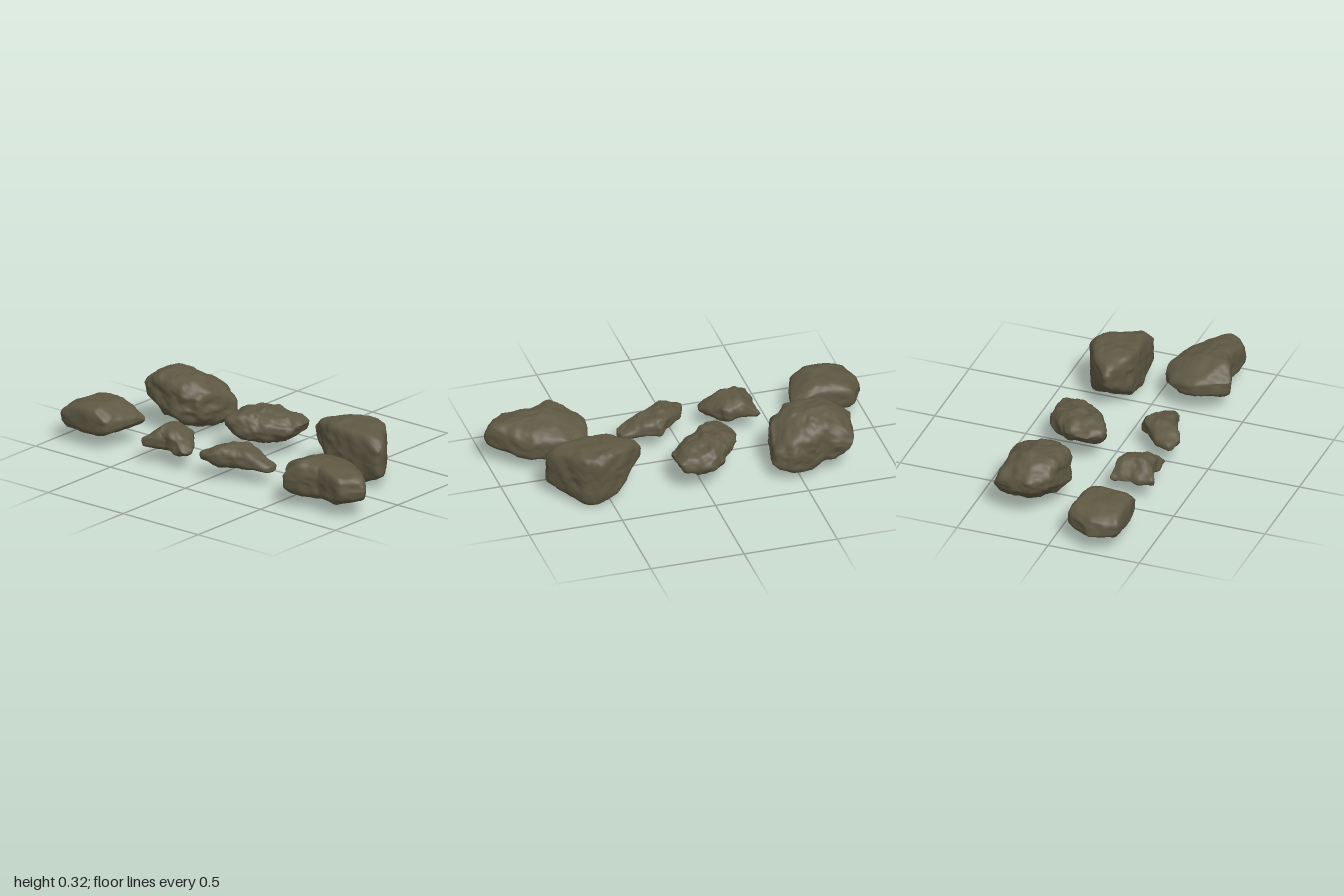
import * as THREE from 'three';
import { mergeVertices } from 'three/addons/utils/BufferGeometryUtils.js';

function seeded(seed) {
  let s = seed;
  return () => (s = (s * 16807) % 2147483647) / 2147483647;
}

// Height from evenly spaced values, t from 0 to 1
function heightAt(values, t) {
  const f = THREE.MathUtils.clamp(t, 0, 1) * (values.length - 1);
  const i = Math.min(Math.floor(f), values.length - 2);
  return THREE.MathUtils.lerp(values[i], values[i + 1], f - i);
}

// Distance from the centre to the outline in direction (dx, dz)
function reach(plan, cx, cz, dx, dz) {
  let best = 0;
  plan.forEach(([ax, az], i) => {
    const [bx, bz] = plan[(i + 1) % plan.length];
    const ex = bx - ax, ez = bz - az, det = dx * ez - dz * ex;
    if (Math.abs(det) < 1e-9) return;
    const t = ((ax - cx) * ez - (az - cz) * ex) / det;
    const u = ((ax - cx) * dz - (az - cz) * dx) / det;
    if (t > 0 && u >= -1e-6 && u <= 1 + 1e-6) best = Math.max(best, t);
  });
  return best;
}

// Smooth value noise, -1 to 1
function hash(x, y, z) {
  const h = Math.sin(x * 127.1 + y * 311.7 + z * 74.7) * 43758.5453;
  return (h - Math.floor(h)) * 2 - 1;
}
function noise(x, y, z) {
  const ix = Math.floor(x), iy = Math.floor(y), iz = Math.floor(z);
  const ease = (t) => t * t * (3 - 2 * t), mix = THREE.MathUtils.lerp;
  const u = ease(x - ix), v = ease(y - iy), w = ease(z - iz);
  const row = (j, k) => mix(hash(ix, iy + j, iz + k), hash(ix + 1, iy + j, iz + k), u);
  return mix(mix(row(0, 0), row(1, 0), v), mix(row(0, 1), row(1, 1), v), w);
}

// plan: outline [x, z]; top and bottom: heights from the -x end to the +x end
// power: 2 is round, larger is boxier; fall: drop of the top towards the back;
// rise: lift of the bottom towards the front; rough: surface relief
function rockGeometry({ plan, top, bottom, power, fall = 0, rise = 0, rough }, seed) {
  const [x0, z0] = [0, 1].map((k) => Math.min(...plan.map((q) => q[k])));
  const [x1, z1] = [0, 1].map((k) => Math.max(...plan.map((q) => q[k])));
  const cx = (x0 + x1) / 2, cz = (z0 + z1) / 2;
  let geometry = new THREE.SphereGeometry(1, 88, 56);
  geometry.deleteAttribute('uv');
  geometry.deleteAttribute('normal');
  geometry = mergeVertices(geometry, 1e-5);
  const pos = geometry.attributes.position, p = new THREE.Vector3();

  // Body swept to the outline and the height lines
  for (let i = 0; i < pos.count; i++) {
    p.fromBufferAttribute(pos, i);
    const flat = Math.hypot(p.x, p.z);
    const dx = flat > 1e-6 ? p.x / flat : 1, dz = flat > 1e-6 ? p.z / flat : 0;
    const swell = Math.pow(Math.pow(flat, power) + Math.pow(Math.abs(p.y), power), -1 / power);
    const r = reach(plan, cx, cz, dx, dz) * flat * swell, s = Math.abs(p.y) * swell;
    const x = cx + dx * r, z = cz + dz * r, t = (x - x0) / (x1 - x0);
    const high = heightAt(top, t) + Math.min(0, fall * (z - cz));
    const low = heightAt(bottom, t) + Math.max(0, rise * (z - cz));
    const mid = low + (high - low) * 0.47;
    pos.setXYZ(i, x, p.y > 0 ? mid + s * (high - mid) : mid - s * (mid - low), z);
  }

  // Flat broken faces
  const random = seeded(seed * 7919 + 11), centre = new THREE.Vector3(cx, 0.15, cz);
  for (let c = 0; c < 10; c++) {
    const angle = (c + random()) / 10 * Math.PI * 2;
    const n = new THREE.Vector3(Math.cos(angle), (random() - 0.4) * 2.4, Math.sin(angle)).normalize();
    let limit = 0;
    for (let i = 0; i < pos.count; i++) limit = Math.max(limit, p.fromBufferAttribute(pos, i).sub(centre).dot(n));
    limit *= 0.92 + random() * 0.06;
    for (let i = 0; i < pos.count; i++) {
      const over = p.fromBufferAttribute(pos, i).sub(centre).dot(n) - limit;
      if (over > 0) {
        p.addScaledVector(n, -over).add(centre);
        pos.setXYZ(i, p.x, p.y, p.z);
      }
    }
  }

  // Weathered lumps and cracks
  geometry.computeVertexNormals();
  const normal = geometry.attributes.normal;
  for (let i = 0; i < pos.count; i++) {
    p.fromBufferAttribute(pos, i);
    const ridge = 0.4 - Math.abs(noise(p.x * 13 + seed, p.y * 16, p.z * 13));
    const d = rough * (0.8 * ridge + 0.6 * noise(p.x * 22, p.y * 22 + seed, p.z * 22)
      + 0.25 * noise(p.x * 48, p.y * 48, p.z * 48 + seed));
    pos.setXYZ(i, p.x + normal.getX(i) * d, Math.max(0, p.y + normal.getY(i) * d), p.z + normal.getZ(i) * d);
  }
  geometry.computeVertexNormals();
  return geometry;
}

export function createModel() {
  const group = new THREE.Group();
  group.name = 'rocks';
  const stone = new THREE.MeshStandardMaterial({ color: 0x5e5843 });
  stone.name = 'stone';

  function addRock(name, shape) {
    const mesh = new THREE.Mesh(rockGeometry(shape, group.children.length + 1), stone);
    mesh.name = name;
    group.add(mesh);
  }

  // Back row
  addRock('backLeftBoulder', {
    plan: [[-0.78, -0.39], [-0.61, -0.37], [-0.44, -0.41], [-0.36, -0.36], [-0.38, -0.2], [-0.41, -0.1], [-0.53, -0.05], [-0.74, -0.08], [-0.82, -0.18]],
    top: [0.26, 0.325, 0.31, 0.26], bottom: [0.14, 0.06, 0.02, 0.05],
    power: 4, fall: 0.4, rise: 0.3, rough: 0.015,
  });
  addRock('backMiddleRock', {
    plan: [[-0.04, -0.36], [0.14, -0.34], [0.15, -0.2], [0.03, -0.09], [-0.05, -0.04], [-0.16, -0.01], [-0.22, -0.09], [-0.2, -0.21]],
    top: [0.22, 0.25, 0.225, 0.2], bottom: [0.15, 0.08, 0.07, 0.12],
    power: 2.7, rough: 0.016,
  });
  addRock('backRightBoulder', {
    plan: [[0.3, -0.18], [0.43, -0.3], [0.57, -0.36], [0.65, -0.33], [0.81, -0.13], [0.79, -0.09], [0.46, -0.09]],
    top: [0.27, 0.305, 0.295, 0.265], bottom: [0.17, 0.04, 0.005, 0.07],
    power: 6.5, rough: 0.009,
  });

  // Front row
  addRock('frontLeftRock', {
    plan: [[-0.92, 0.08], [-0.59, 0.1], [-0.62, 0.24], [-0.66, 0.35], [-0.77, 0.365], [-0.95, 0.36], [-1, 0.22]],
    top: [0.18, 0.23, 0.235, 0.17], bottom: [0.08, 0.07, 0.065, 0.11],
    power: 4.2, rough: 0.006,
  });
  addRock('frontSmallRock', {
    plan: [[-0.44, 0.12], [-0.24, 0.13], [-0.15, 0.27], [-0.16, 0.33], [-0.29, 0.31], [-0.42, 0.36]],
    top: [0.14, 0.205, 0.19, 0.13], bottom: [0.09, 0.08, 0.07, 0.08],
    power: 2.8, rough: 0.013,
  });
  addRock('frontMiddleRock', {
    plan: [[0.11, 0.09], [0.22, 0.125], [0.34, 0.14], [0.32, 0.22], [0.17, 0.265], [0.01, 0.34], [-0.07, 0.31], [-0.03, 0.22]],
    top: [0.15, 0.195, 0.16, 0.11], bottom: [0.09, 0.07, 0.07, 0.075],
    power: 2.8, rough: 0.01,
  });
  addRock('frontRightBoulder', {
    plan: [[0.61, 0.035], [0.81, 0.08], [0.92, 0.17], [1.01, 0.27], [0.91, 0.365], [0.75, 0.34], [0.57, 0.41], [0.47, 0.24], [0.5, 0.1]],
    top: [0.2, 0.265, 0.245, 0.225], bottom: [0.1, 0.06, 0.06, 0.085],
    power: 4.5, fall: 0.3, rough: 0.008,
  });
  return group;
}
